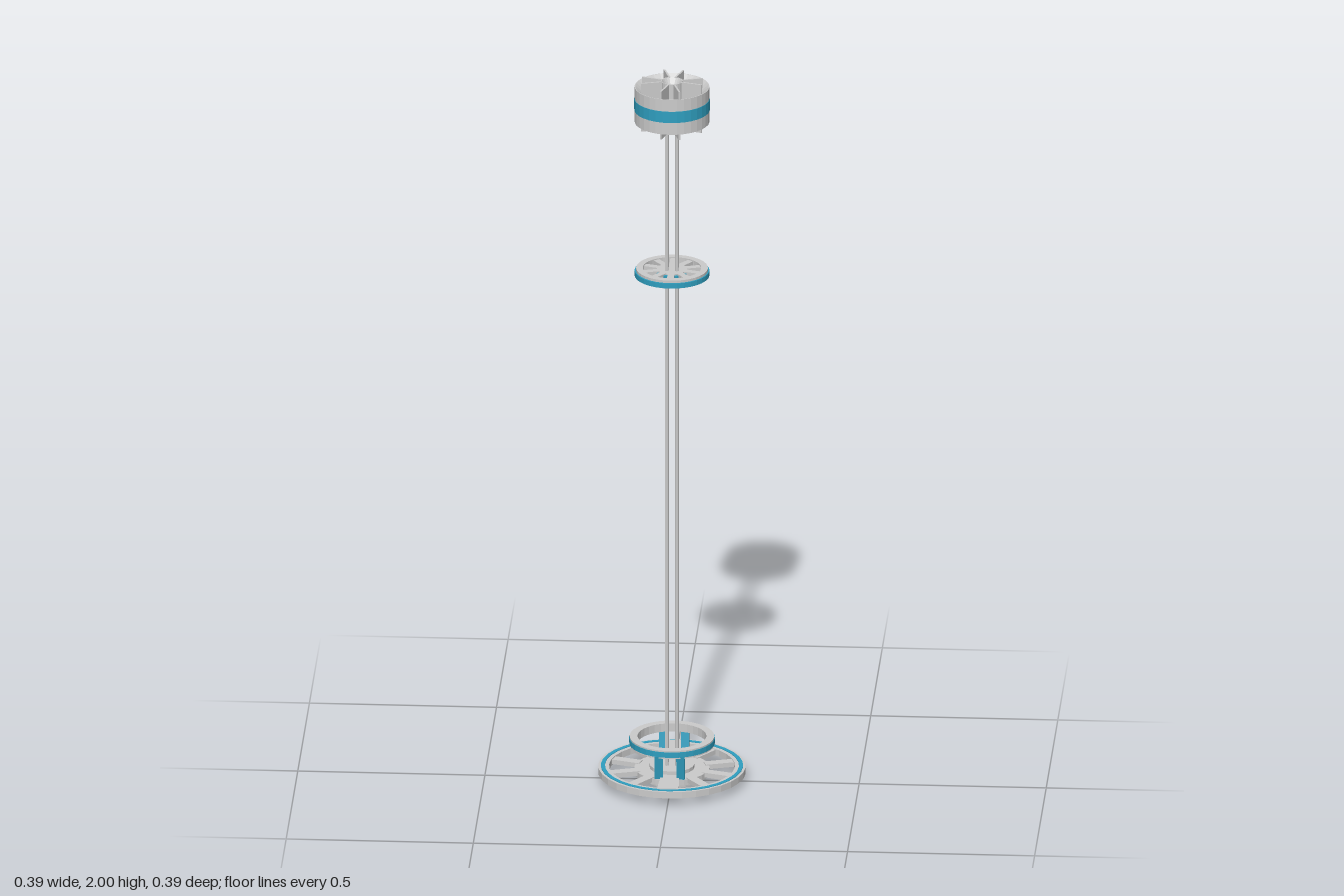
import * as THREE from 'three';

const grey = new THREE.MeshStandardMaterial({ color: 0xcccccc, flatShading: true, side: THREE.DoubleSide });
const blue = new THREE.MeshStandardMaterial({ color: 0x2f9fc0, flatShading: true, side: THREE.DoubleSide });

export function createModel() {
  const model = new THREE.Group();

  const add = (parent, name, geometry, material = grey) => {
    const mesh = new THREE.Mesh(geometry, material);
    mesh.name = name;
    parent.add(mesh);
    return mesh;
  };
  const group = (name) => {
    const g = new THREE.Group();
    g.name = name;
    model.add(g);
    return g;
  };
  const lathe = (pts, sides = 32) =>
    new THREE.LatheGeometry(pts.map(([r, y]) => new THREE.Vector2(r, y)), sides);
  // Ring with a rectangular section; inner radius 0 gives a disc
  const ring = (r0, r1, y0, y1, sides) =>
    lathe([[r0, y0], [r1, y0], [r1, y1], [r0, y1], [r0, y0]], sides);
  // Flat bar lying along a radius, at an angle in degrees
  const bar = (parent, name, deg, r0, r1, width, y0, y1) => {
    const g = new THREE.BoxGeometry(r1 - r0, y1 - y0, width);
    g.translate((r0 + r1) / 2, (y0 + y1) / 2, 0);
    add(parent, name, g).rotation.y = THREE.MathUtils.degToRad(deg);
  };

  // Base wheel: rim, hub and ten spokes, the front and back ones wide
  const base = group('baseWheel');
  add(base, 'baseRim', ring(0.168, 0.197, 0.022, 0.04));
  add(base, 'baseRimStripe', ring(0.179, 0.19, 0.036, 0.0415), blue);
  add(base, 'baseHubPlate', ring(0, 0.1, 0.02, 0.036));
  add(base, 'baseFoot', ring(0, 0.066, 0, 0.024, 20));
  add(base, 'baseHubCap', ring(0, 0.06, 0.034, 0.046, 20));
  for (let i = 0; i < 10; i++) {
    const deg = 18 + i * 36;
    if (i % 5 !== 2) bar(base, 'baseSpoke', deg, 0.09, 0.172, 0.026, 0.025, 0.038);
  }
  for (const s of [1, -1]) {
    const wide = new THREE.Shape([[0.024, 0.08], [0.029, 0.18], [-0.029, 0.18], [-0.024, 0.08]]
      .map(([x, y]) => new THREE.Vector2(x, y)));
    const g = new THREE.ExtrudeGeometry(wide, { depth: 0.022, bevelEnabled: false });
    g.rotateX(Math.PI / 2);
    g.translate(0, 0.044, 0);
    add(base, 'wideSpoke', g).rotation.y = s > 0 ? 0 : Math.PI;
  }

  // Raised ring on paired, outward-leaning legs
  const dock = group('raisedRing');
  add(dock, 'raisedRingBody', ring(0.092, 0.113, 0.102, 0.125));
  add(dock, 'raisedRingBand', ring(0.108, 0.1145, 0.106, 0.121), blue);
  for (const z of [1, -1]) for (const x of [1, -1]) {
    const leg = add(dock, 'ringLeg', new THREE.BoxGeometry(0.022, 0.068, 0.012), blue);
    leg.position.set(x * 0.029, 0.073, z * 0.098);
    leg.rotation.x = z * 0.15;
  }

  // Shaft of four slender rods
  const shaft = group('shaft');
  for (const x of [1, -1]) for (const z of [1, -1]) {
    const rod = add(shaft, 'shaftRod', new THREE.CylinderGeometry(0.005, 0.005, 1.84, 8));
    rod.position.set(x * 0.0135, 0.96, z * 0.0135);
  }

  // Middle platform: spoked wheel with a coloured edge
  const mid = group('middlePlatform');
  add(mid, 'platformRim', ring(0.078, 0.096, 1.442, 1.465));
  add(mid, 'platformBand', ring(0.09, 0.1, 1.444, 1.458), blue);
  add(mid, 'platformHub', ring(0, 0.04, 1.445, 1.462, 20));
  add(mid, 'platformHubBand', ring(0.038, 0.047, 1.446, 1.458, 20), blue);
  for (let i = 0; i < 10; i++) bar(mid, 'platformSpoke', 18 + i * 36, 0.03, 0.084, 0.018, 1.444, 1.462);

  // Top drum: outer wall with a funnel above and below a narrow throat
  const drum = group('topDrum');
  add(drum, 'drumBody', lathe([
    [0.048, 1.925], [0.09, 1.884], [0.1, 1.884], [0.1, 1.984],
    [0.098, 1.984], [0.048, 1.943], [0.048, 1.925],
  ]));
  add(drum, 'drumBand', ring(0.096, 0.101, 1.918, 1.95), blue);
  add(drum, 'drumHub', lathe([
    [0, 1.885], [0.014, 1.885], [0.027, 1.863], [0.029, 1.863],
    [0.029, 2], [0.027, 2], [0.014, 1.978], [0, 1.978],
  ], 20));
  for (const deg of [17, 73, 107, 163, 197, 253, 287, 343])
    bar(drum, 'drumFin', deg, 0.026, 0.085, 0.005, 1.863, 2);

  return model;
}
